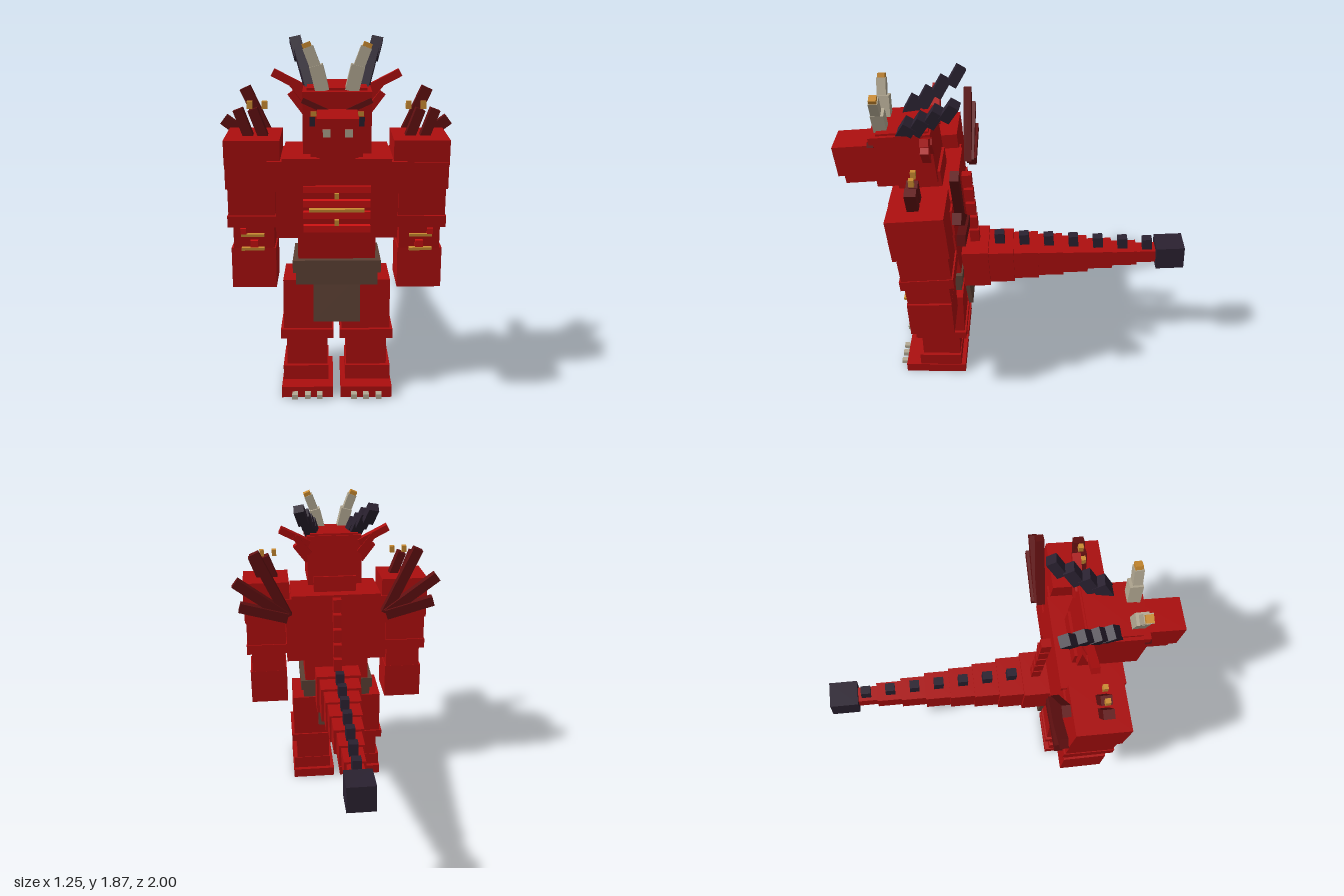
import * as THREE from 'three';

const mat = (name, color) => {
  const m = new THREE.MeshStandardMaterial({ color });
  m.name = name;
  return m;
};

export function createModel() {
  const red = mat('scale red', 0xac0e0e);
  const bright = mat('bright red', 0xcc1111);
  const dark = mat('dark red', 0x600f10);
  const black = mat('horn black', 0x2a2130);
  const bone = mat('bone', 0xb3a993);
  const gold = mat('gold', 0xc98a30);
  const brown = mat('leather brown', 0x5c4034);

  const model = new THREE.Group();
  const LEAN = 0.08; // upper body leans forward

  const box = (name, m, size, pos, rot = [0, 0, 0]) => {
    const mesh = new THREE.Mesh(new THREE.BoxGeometry(...size), m);
    mesh.name = name;
    mesh.position.set(...pos);
    mesh.rotation.set(...rot);
    model.add(mesh);
    return mesh;
  };
  // same box on the left (+x) and right (-x)
  const pair = (name, m, size, [x, y, z], [rx, ry, rz] = [0, 0, 0]) => {
    box(name + 'Left', m, size, [x, y, z], [rx, ry, rz]);
    box(name + 'Right', m, size, [-x, y, z], [rx, -ry, -rz]);
  };
  // bar between two points in an xy plane, mirrored
  const barPair = (name, m, w, d, [x1, y1], [x2, y2], z, rx = 0) =>
    pair(name, m, [w, Math.hypot(x2 - x1, y2 - y1), d], [(x1 + x2) / 2, (y1 + y2) / 2, z],
      [rx, 0, -Math.atan2(x2 - x1, y2 - y1)]);

  // Legs
  pair('foot', red, [0.27, 0.06, 0.37], [0.155, 0.03, 0.505]);
  pair('ankle', red, [0.24, 0.08, 0.255], [0.165, 0.1, 0.473]);
  pair('shin', red, [0.215, 0.18, 0.23], [0.158, 0.22, 0.465]);
  pair('knee', red, [0.28, 0.05, 0.305], [0.156, 0.325, 0.457]);
  pair('thigh', red, [0.255, 0.28, 0.275], [0.153, 0.48, 0.452]);
  for (const x of [0.09, 0.153, 0.22]) pair('toeClaw', bone, [0.03, 0.025, 0.04], [x, 0.022, 0.71]);

  // Belt and loincloth
  box('belt', brown, [0.455, 0.065, 0.32], [0, 0.708, 0.475]);
  box('lowerBelt', brown, [0.425, 0.075, 0.3], [0, 0.645, 0.475]);
  box('frontCloth', brown, [0.245, 0.25, 0.025], [0, 0.53, 0.615], [-0.08, 0, 0]);
  box('backCloth', brown, [0.245, 0.18, 0.025], [0, 0.525, 0.292], [0.12, 0, 0]);

  // Torso
  const lean = [LEAN, 0, 0];
  box('abdomen', red, [0.4, 0.18, 0.27], [0, 0.8, 0.465], lean);
  box('chest', red, [0.62, 0.26, 0.3], [0, 1.0, 0.48], lean);
  box('upperChest', red, [0.7, 0.155, 0.33], [0, 1.2, 0.498], lean);
  box('collar', red, [0.545, 0.03, 0.36], [0, 1.282, 0.507], lean);
  box('neck', red, [0.26, 0.12, 0.24], [0, 1.33, 0.53], lean);

  // Chest plates with gold trim
  [1.124, 1.048, 0.988, 0.915].forEach(y =>
    box('chestPlate', bright, [0.34, 0.035, 0.03], [0, y, 0.645 + (y - 1) * LEAN], lean));
  box('chestTrim', gold, [0.28, 0.014, 0.03], [0, 1.013, 0.65], lean);
  for (const y of [1.086, 0.948]) box('chestStud', gold, [0.022, 0.03, 0.03], [0, y, 0.648], lean);

  // Spine plates
  for (let i = 0; i < 5; i++)
    box('spinePlate', red, [0.05, 0.08, 0.055], [0, 1.265 - 0.096 * i, 0.283 - 0.008 * i], [0.06, 0, 0]);

  // Arms
  pair('shoulderPad', red, [0.28, 0.125, 0.3], [0.424, 1.318, 0.503], lean);
  pair('upperArmTop', red, [0.255, 0.14, 0.3], [0.434, 1.2, 0.495], lean);
  pair('upperArm', red, [0.24, 0.18, 0.27], [0.434, 1.065, 0.48], lean);
  pair('elbow', red, [0.25, 0.06, 0.29], [0.434, 0.955, 0.472], lean);
  pair('forearm', red, [0.21, 0.16, 0.24], [0.427, 0.87, 0.475], lean);
  pair('fist', red, [0.23, 0.215, 0.245], [0.43, 0.693, 0.468], [0.03, 0, 0]);
  for (const x of [0.365, 0.43, 0.495]) pair('fingerClaw', bone, [0.028, 0.035, 0.03], [x, 0.572, 0.48]);
  for (const y of [0.87, 0.797]) pair('bracerTrim', gold, [0.118, 0.014, 0.03], [0.432, y, 0.6], lean);
  pair('bracerStud', bright, [0.03, 0.03, 0.03], [0.48, 0.892, 0.598], lean);
  pair('bracerStud', bright, [0.04, 0.035, 0.03], [0.425, 0.825, 0.598], lean);

  // Shoulder spikes with gold tips
  for (const x of [0.365, 0.44]) {
    barPair('shoulderSpike', dark, 0.05, 0.06, [x, 1.35], [x + 0.06, 1.51], 0.522);
    pair('shoulderSpikeTip', gold, [0.027, 0.04, 0.027], [x, 1.53, 0.522]);
  }

  // Fanned back spikes
  [[0.485, 1.6], [0.605, 1.43], [0.585, 1.28]].forEach(([x, y], i) =>
    barPair('backFanSpike', dark, 0.06, 0.045, [0.3, 1.2], [x, y], 0.3 - 0.014 * i));

  // Head
  box('head', red, [0.33, 0.3, 0.33], [0, 1.483, 0.603], lean);
  box('headCrown', red, [0.29, 0.03, 0.28], [0, 1.63, 0.6], lean);
  box('snout', red, [0.19, 0.18, 0.25], [0, 1.44, 0.865], lean);
  box('jaw', red, [0.165, 0.055, 0.3], [0, 1.328, 0.8], lean);
  pair('nostril', bone, [0.034, 0.034, 0.02], [0.05, 1.455, 0.992], lean);
  pair('eye', gold, [0.03, 0.022, 0.02], [0.112, 1.515, 0.768], lean);
  pair('eyeShade', black, [0.026, 0.045, 0.02], [0.118, 1.478, 0.765], lean);
  barPair('brow', dark, 0.026, 0.035, [0.045, 1.525], [0.165, 1.58], 0.77);

  // Cheek spikes
  barPair('earSpike', red, 0.04, 0.045, [0.15, 1.6], [0.325, 1.69], 0.46);
  barPair('cheekSpike', red, 0.035, 0.045, [0.15, 1.54], [0.24, 1.65], 0.455);
  barPair('lowCheekSpike', red, 0.035, 0.045, [0.16, 1.49], [0.235, 1.59], 0.475);

  // Bone front horns
  barPair('frontHornBase', bone, 0.066, 0.07, [0.07, 1.62], [0.1, 1.74], 0.722, 0.03);
  barPair('frontHornUpper', bone, 0.052, 0.05, [0.098, 1.72], [0.138, 1.825], 0.73);
  barPair('frontHornTip', gold, 0.042, 0.04, [0.136, 1.815], [0.148, 1.845], 0.73);

  // Black swept-back horns
  [[0.13, 1.655, 0.575], [0.15, 1.7, 0.5], [0.172, 1.755, 0.42], [0.202, 1.805, 0.335]].forEach((p, i) =>
    pair('rearHorn', black, [0.075 - 0.005 * i, 0.115, 0.075 - 0.006 * i], p, [-0.55, 0, -0.25]));

  // Tail: eight tapering segments, dark plates and a club
  const halfWidths = [0.138, 0.122, 0.106, 0.095, 0.085, 0.07, 0.058, 0.045];
  const heights = [0.245, 0.215, 0.19, 0.168, 0.148, 0.122, 0.1, 0.08];
  halfWidths.forEach((w, i) => {
    const z = 0.24 - 0.1467 * i, y = 0.713 + 0.0055 * i;
    box('tailSegment', red, [2 * w, heights[i], 0.155], [0, y, z], [0.05, 0, 0]);
    if (i > 0) box('tailPlate', black, [0.05, 0.08, 0.057], [0, y + heights[i] / 2 + 0.03, z + 0.01], [0.08, 0, 0]);
  });
  box('tailClub', black, [0.15, 0.145, 0.165], [0, 0.763, -0.913], [0.06, 0, 0]);

  return model;
}
